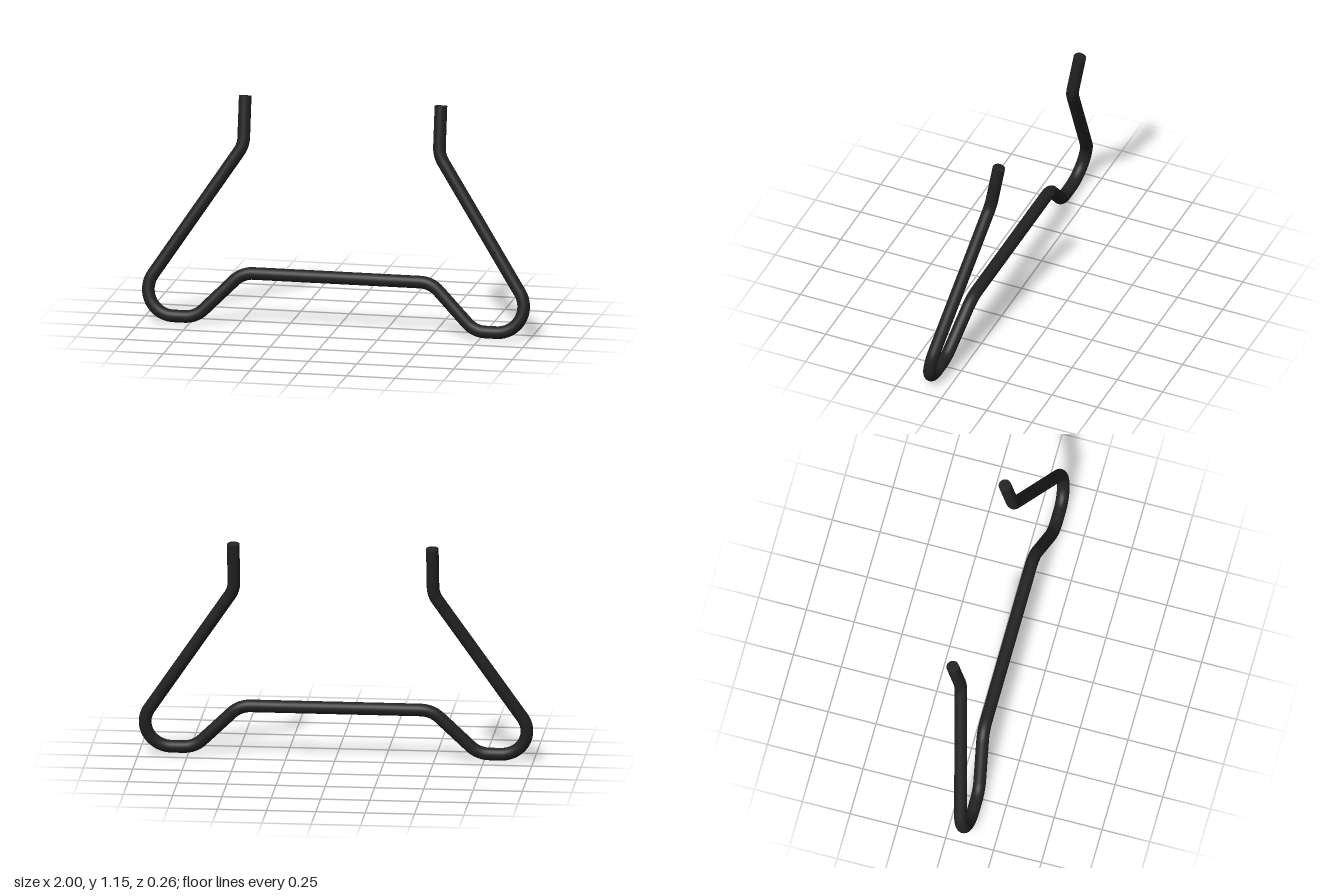
import * as THREE from 'three';

const R = 0.032;          // tube radius
const BEND = 0.134;       // centreline bend radius
const SIDES = 32;
const TILT = THREE.MathUtils.degToRad(10);
const HOLE = 0.006;       // half length of the small drilled hole

// Bend plane (u across, v up the slope) to world space
const toWorld = (u, v) => new THREE.Vector3(u, v * Math.cos(TILT), -v * Math.sin(TILT));
const origin = new THREE.Vector3(0, R, 0.0985);

// Rings along the centreline: straight runs, rounded corners and hole edges
function makeRings(path) {
  const rings = [];
  const add = (p, d, hole = false) => rings.push({
    center: toWorld(p.x, p.y).add(origin), tangent: toWorld(d.x, d.y).normalize(), hole,
  });
  const n = path.length;
  path.forEach(({ p, hole }, i) => {
    const before = i > 0 ? p.clone().sub(path[i - 1].p).normalize() : null;
    const after = i < n - 1 ? path[i + 1].p.clone().sub(p).normalize() : null;
    if (!before || !after) return add(p, before || after);
    if (hole) {
      add(p.clone().addScaledVector(before, -HOLE), before, true);
      add(p.clone().addScaledVector(before, HOLE), before, true);
      return;
    }
    const turn = Math.atan2(before.cross(after), before.dot(after));
    const start = p.clone().addScaledVector(before, -BEND * Math.tan(Math.abs(turn) / 2));
    const side = new THREE.Vector2(-before.y, before.x).multiplyScalar(Math.sign(turn) * BEND);
    const center = start.clone().add(side);
    const steps = Math.ceil(Math.abs(turn) / 0.09);
    const zero = new THREE.Vector2();
    for (let k = 0; k <= steps; k++) {
      const a = turn * k / steps;
      add(center.clone().sub(side.clone().rotateAround(zero, a)), before.clone().rotateAround(zero, a));
    }
  });
  return rings;
}

function buildGeometry(positions, index, normals) {
  const g = new THREE.BufferGeometry();
  g.setAttribute('position', new THREE.Float32BufferAttribute(positions, 3));
  g.setIndex(index);
  if (normals) g.setAttribute('normal', new THREE.Float32BufferAttribute(normals, 3));
  else g.computeVertexNormals();
  return g;
}

export function createModel() {
  const group = new THREE.Group();
  group.name = 'bentTubeStand';
  const material = new THREE.MeshStandardMaterial({ color: 0x222222, side: THREE.DoubleSide });
  const addMesh = (geometry, name) => {
    const mesh = new THREE.Mesh(geometry, material);
    mesh.name = name;
    group.add(mesh);
    return mesh;
  };

  // Left half of the centreline, then its mirror image
  const top = new THREE.Vector2(0.505, 0.882), foot = new THREE.Vector2(1.082, 0);
  const half = [
    { p: new THREE.Vector2(0.505, 1.133) },
    { p: top },
    { p: top.clone().lerp(foot, 0.536), hole: true },
    { p: foot },
    { p: new THREE.Vector2(0.72, 0) },
    { p: new THREE.Vector2(0.487, 0.2355) },
  ];
  const mirrored = half.map(({ p, hole }) => ({ p: new THREE.Vector2(-p.x, p.y), hole })).reverse();
  const rings = makeRings([...half, ...mirrored]);

  // Cross-sections, with the seam facing +z; hole rings are skewed to run along z
  const zAxis = new THREE.Vector3(0, 0, 1);
  const positions = [], normals = [], index = [];
  const points = rings.map(({ center, tangent, hole }) => {
    const e1 = zAxis.clone().addScaledVector(tangent, -zAxis.dot(tangent)).normalize();
    const e2 = tangent.clone().cross(e1);
    const skew = hole ? zAxis.dot(tangent) / zAxis.dot(e1) : 0;
    return Array.from({ length: SIDES }, (_, j) => {
      const a = j / SIDES * Math.PI * 2;
      const out = e1.clone().multiplyScalar(Math.cos(a)).addScaledVector(e2, Math.sin(a));
      const pt = center.clone().addScaledVector(out, R)
        .addScaledVector(tangent, R * Math.cos(a) * skew);
      positions.push(...pt.toArray());
      normals.push(...out.toArray());
      return pt;
    });
  });

  // Tube skin, leaving the holes open front and back
  const m = SIDES / 2;
  const openSides = [SIDES - 1, 0, m - 1, m];
  for (let i = 0; i < rings.length - 1; i++) {
    const drilled = rings[i].hole && rings[i + 1].hole;
    for (let j = 0; j < SIDES; j++) {
      if (drilled && openSides.includes(j)) continue;
      const k = (j + 1) % SIDES;
      const a = i * SIDES + j, b = i * SIDES + k;
      index.push(a, b, b + SIDES, a, b + SIDES, a + SIDES);
    }
    // Wall of the drilled hole, joining its front and back edges
    if (drilled) {
      const loop = [[i, -1], [i, 0], [i, 1], [i + 1, 1], [i + 1, 0], [i + 1, -1]];
      const wall = [], faces = [];
      loop.forEach(([r, j]) => {
        wall.push(...points[r][(j + SIDES) % SIDES].toArray(), ...points[r][m - j].toArray());
      });
      for (let s = 0; s < 6; s++) {
        const a = s * 2, b = ((s + 1) % 6) * 2;
        faces.push(a, b, b + 1, a, b + 1, a + 1);
      }
      addMesh(buildGeometry(wall, faces), rings[i].center.x > 0 ? 'leftHoleWall' : 'rightHoleWall');
    }
  }
  addMesh(buildGeometry(positions, index, normals), 'bentTube');

  // Flat caps on the two upright ends
  [[rings[0], -1, 'leftEndCap'], [rings[rings.length - 1], 1, 'rightEndCap']].forEach(([ring, dir, name]) => {
    const cap = addMesh(new THREE.CircleGeometry(R, SIDES), name);
    cap.position.copy(ring.center);
    cap.lookAt(ring.center.clone().addScaledVector(ring.tangent, dir));
  });

  return group;
}
